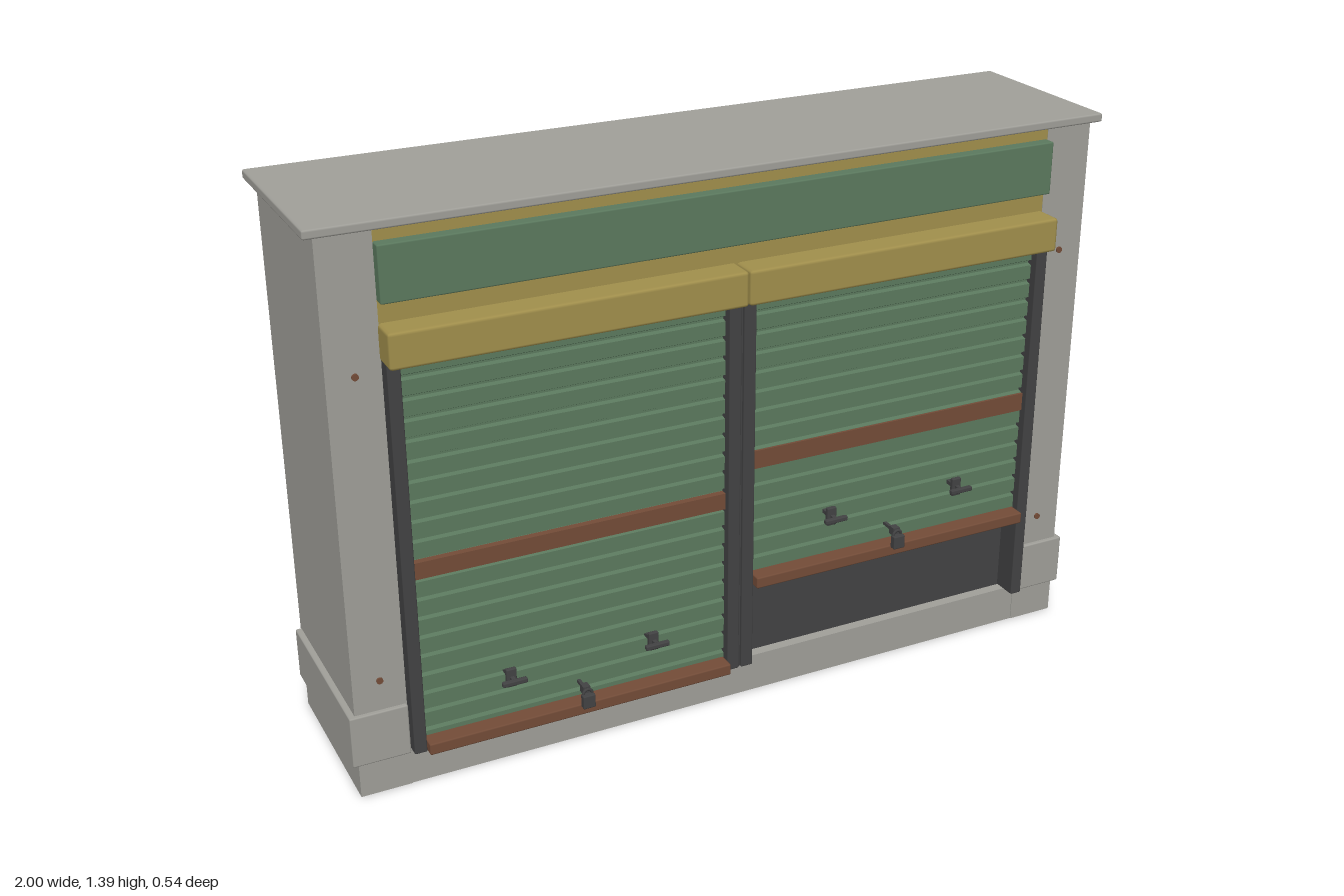
import * as THREE from 'three';
import { RoundedBoxGeometry } from 'three/addons/geometries/RoundedBoxGeometry.js';

const mat = (name, color) => {
  const m = new THREE.MeshStandardMaterial({ color });
  m.name = name;
  return m;
};

export function createModel() {
  const model = new THREE.Group();
  model.name = 'shopFront';
  const stone = mat('stone grey', 0xa09f99);
  const green = mat('shutter green', 0x5b795e);
  const gold = mat('ochre', 0xa18f4c);
  const brown = mat('rust brown', 0x734c38);
  const dark = mat('dark iron', 0x424243);

  const add = (parent, name, geometry, material) => {
    const mesh = new THREE.Mesh(geometry, material);
    mesh.name = name;
    parent.add(mesh);
    return mesh;
  };
  // Box given by its limits on each axis; a radius softens the edges
  const box = (parent, name, material, [x0, x1], [y0, y1], [z0, z1], r = 0) => {
    const size = [x1 - x0, y1 - y0, z1 - z0];
    const geometry = r ? new RoundedBoxGeometry(...size, 1, r) : new THREE.BoxGeometry(...size);
    geometry.translate((x0 + x1) / 2, (y0 + y1) / 2, (z0 + z1) / 2);
    return add(parent, name, geometry, material);
  };

  // Building shell: plan outline with a shallow recess between the pilasters
  const plan = new THREE.Shape([
    [-0.975, 0.25], [-0.975, -0.195], [-0.85, -0.195], [-0.85, -0.16],
    [0.85, -0.16], [0.85, -0.195], [0.975, -0.195], [0.975, 0.25],
  ].map(([x, y]) => new THREE.Vector2(x, y)));
  const shell = new THREE.ExtrudeGeometry(plan, { depth: 1.375, bevelEnabled: false });
  shell.rotateX(-Math.PI / 2);
  add(model, 'shell', shell, stone);
  box(model, 'sill', stone, [-0.85, 0.85], [0, 0.1], [0.15, 0.193]);
  box(model, 'roofCap', stone, [-1, 1], [1.37, 1.392], [-0.27, 0.21], 0.005);

  // Plinth bands, wall studs
  for (const s of [-1, 1]) {
    const xs = s > 0 ? [0.85, 0.99] : [-0.99, -0.85];
    box(model, 'plinthBand', stone, xs, [0.09, 0.222], [-0.245, 0.205], 0.004);
    for (const y of [0.3, 1.05]) {
      const stud = new THREE.CylinderGeometry(0.008, 0.008, 0.006, 12);
      stud.rotateX(Math.PI / 2).translate(s * 0.91, y, 0.197);
      add(model, 'wallStud', stud, brown);
    }
  }

  // Back panel, fascia and sign board
  box(model, 'backPanel', dark, [-0.85, 0.85], [0.1, 1.08], [0.155, 0.166]);
  box(model, 'fascia', gold, [-0.85, 0.85], [1.07, 1.37], [0.155, 0.194]);
  box(model, 'signBoard', green, [-0.85, 0.85], [1.21, 1.342], [0.19, 0.222], 0.004);

  // Ridged curtain: a slat profile repeated upward, extruded across the bay
  const pitch = 0.0492;
  const curtain = (width, y0, y1) => {
    const points = [new THREE.Vector2(0.176, y0)];
    const first = 1.027 - Math.floor((1.027 - y0) / pitch) * pitch;
    points.push(new THREE.Vector2(0.208, y0));
    for (let y = first; y < y1 - 0.01; y += pitch) {
      points.push(
        new THREE.Vector2(0.208, y),
        new THREE.Vector2(0.196, y + 0.003),
        new THREE.Vector2(0.196, y + 0.008),
        new THREE.Vector2(0.208, y + 0.014),
      );
    }
    points.push(new THREE.Vector2(0.208, y1), new THREE.Vector2(0.176, y1));
    const g = new THREE.ExtrudeGeometry(new THREE.Shape(points), { depth: width, bevelEnabled: false });
    return g.rotateY(-Math.PI / 2).translate(width / 2, 0, 0);
  };

  // One roller shutter; bottom is the height of its lower edge
  const shutter = (name, cx, bottom, bandY, bandHeight) => {
    const g = new THREE.Group();
    g.name = name;
    g.position.x = cx;
    const half = 0.392;
    add(g, 'slatCurtain', curtain(half * 2, bottom + 0.02, 1.08), green);
    box(g, 'middleBand', brown, [-half, half], [bandY, bandY + bandHeight], [0.18, 0.214]);
    box(g, 'bottomRail', brown, [-half, half], [bottom, bottom + 0.03], [0.18, 0.25], 0.004);
    // Lift handles
    for (const s of [-1, 1]) {
      const x = s * 0.183, y = bottom + 0.15;
      box(g, 'handlePlate', dark, [x - 0.013, x + 0.013], [y - 0.024, y + 0.024], [0.235, 0.247], 0.003);
      box(g, 'handleStem', dark, [x - 0.005, x + 0.005], [y - 0.005, y + 0.005], [0.2, 0.262]);
      box(g, 'handleBar', dark, [x - 0.031, x + 0.031], [y - 0.006, y + 0.006], [0.259, 0.272], 0.003);
    }
    // Padlock on its staple
    box(g, 'padlockBody', dark, [-0.016, 0.016], [bottom + 0.03, bottom + 0.065], [0.257, 0.275], 0.003);
    const shackle = new THREE.TorusGeometry(0.011, 0.004, 6, 12, Math.PI);
    shackle.translate(0, bottom + 0.065, 0.262);
    add(g, 'padlockShackle', shackle, dark);
    box(g, 'lockStaple', dark, [-0.009, 0.009], [bottom + 0.06, bottom + 0.081], [0.238, 0.259]);
    box(g, 'staplePin', dark, [-0.004, 0.004], [bottom + 0.066, bottom + 0.074], [0.2, 0.24]);
    model.add(g);
  };
  shutter('rightShutter', -0.427, 0.1, 0.545, 0.042);
  shutter('leftShutter', 0.427, 0.325, 0.635, 0.047);

  // Guide rails and shutter housings on both sides
  for (const s of [-1, 1]) {
    const span = (a, b) => (s > 0 ? [a, b] : [-b, -a]);
    box(model, 'outerGuideRail', dark, span(0.819, 0.85), [0.1, 1.08], [0.16, 0.23], 0.003);
    box(model, 'innerGuideRail', dark, span(0.003, 0.035), [0.1, 1.08], [0.16, 0.23], 0.003);
    box(model, 'shutterHousing', gold, span(0.001, 0.852), [1.074, 1.16], [0.18, 0.262], 0.008);
  }
  box(model, 'centrePost', dark, [-0.01, 0.01], [0.1, 1.08], [0.16, 0.222]);

  return model;
}
